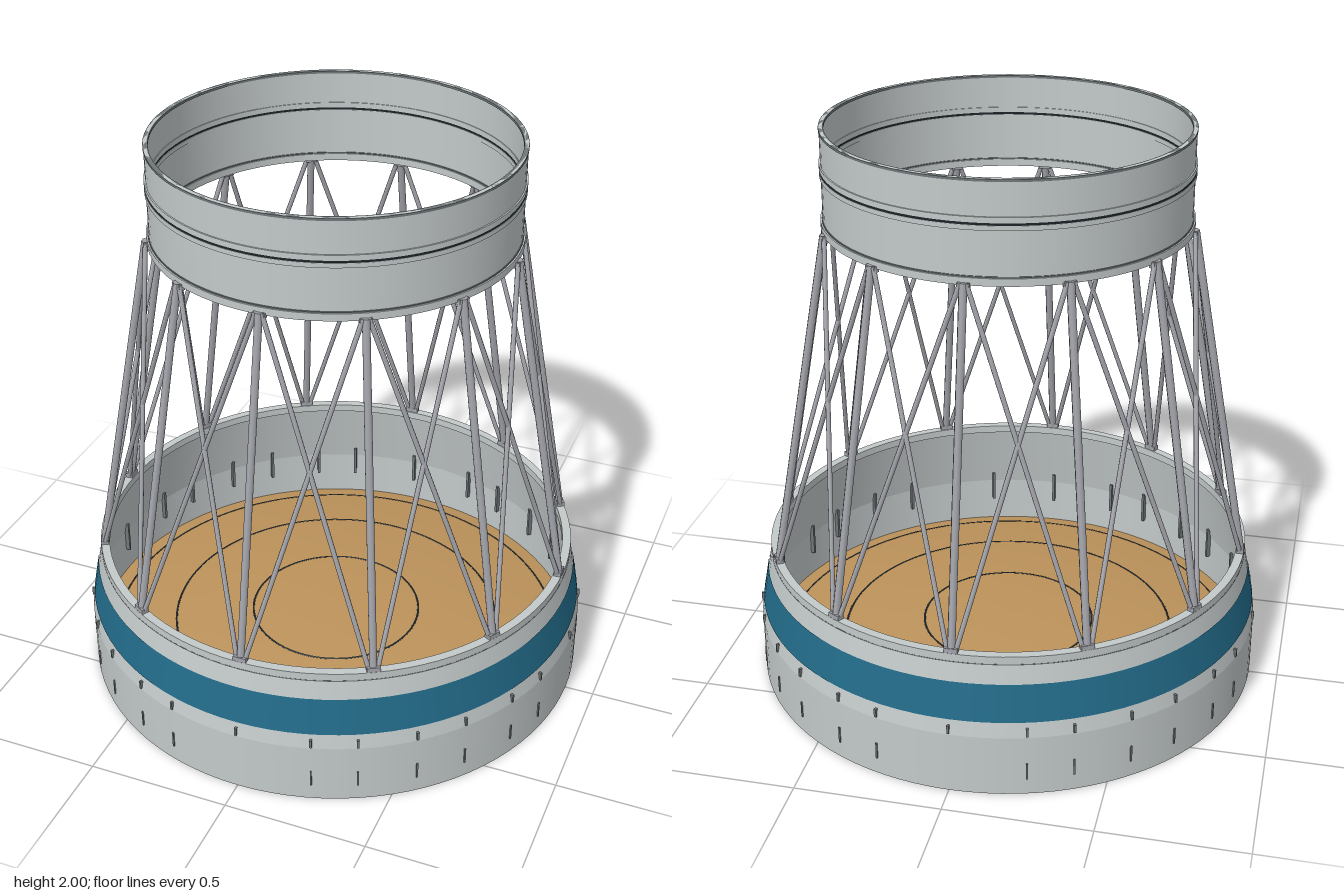
import * as THREE from 'three';
import { mergeGeometries } from 'three/addons/utils/BufferGeometryUtils.js';

const SEG = 96;
const mat = (name, color) => {
  const m = new THREE.MeshStandardMaterial({ color });
  m.name = name;
  return m;
};

// Hard-edged ring: every straight piece of the profile is its own lathe (outer side runs upward)
function ring(profile, closed = true) {
  const pieces = [];
  const n = profile.length;
  for (let i = 0; i < (closed ? n : n - 1); i++) {
    const pair = [profile[i], profile[(i + 1) % n]].map(p => new THREE.Vector2(p[0], p[1]));
    pieces.push(new THREE.LatheGeometry(pair, SEG));
  }
  return mergeGeometries(pieces);
}
const band = (rIn, rOut, y0, y1) => ring([[rIn, y0], [rOut, y0], [rOut, y1], [rIn, y1]]);

// Point on a circle; angle 0 is the front, positive toward +x
const polar = (a, r, y) => new THREE.Vector3(r * Math.sin(a), y, r * Math.cos(a));

function rod(a, b, radius) {
  const d = b.clone().sub(a);
  const g = new THREE.CylinderGeometry(radius, radius, d.length(), 8);
  g.applyQuaternion(new THREE.Quaternion().setFromUnitVectors(new THREE.Vector3(0, 1, 0), d.normalize()));
  const mid = a.clone().add(b).multiplyScalar(0.5);
  return g.translate(mid.x, mid.y, mid.z);
}

function barOnWall(a, r, y, w, h, d) {
  const p = polar(a, r, y);
  return new THREE.BoxGeometry(w, h, d).rotateY(a).translate(p.x, p.y, p.z);
}

export function createModel() {
  const model = new THREE.Group();
  model.name = 'interstage';
  const skin = mat('light grey skin', 0xc3c9c9);
  const strutGrey = mat('strut grey', 0xa2a4aa);
  const blue = mat('teal blue', 0x226a88);
  const gold = mat('tan gold', 0xbd935b);
  const dark = mat('dark seam', 0x1c2428);
  const fitting = mat('fitting grey', 0x70777a);
  const add = (name, geometry, material, parent = model) => {
    const m = new THREE.Mesh(geometry, material);
    m.name = name;
    parent.add(m);
    return m;
  };

  // Lower skirt: straight drum, then a gentle taper
  const slope = y => 0.898 - Math.max(0, y - 0.22) * 0.185;
  add('lowerSkirt', ring([
    [0.885, 0], [0.898, 0], [0.898, 0.22], [slope(0.47), 0.47],
    [0.838, 0.47], [0.884, 0.22],
  ]), skin);
  add('blueBand', ring([[slope(0.275) + 0.003, 0.275], [slope(0.405) + 0.003, 0.405]], false), blue);
  add('skirtTopFlange', band(0.822, 0.852, 0.472, 0.5), skin);
  add('skirtFlangeSeam', band(0.835, 0.8525, 0.469, 0.473), fitting);

  // Shallow domed floor with circular seams
  const domeY = r => 0.12 - 0.1 * r * r;
  const top = [], under = [];
  for (let i = 0; i <= 16; i++) {
    const r = 0.889 * i / 16;
    top.unshift(new THREE.Vector2(r, domeY(r) + 0.004));
    under.push(new THREE.Vector2(r, domeY(r) - 0.004));
  }
  add('domeFloor', mergeGeometries([top, under].map(p => new THREE.LatheGeometry(p, SEG))), gold);
  for (const r of [0.31, 0.6, 0.825]) {
    add('domeSeam', new THREE.TorusGeometry(r, 0.0058, 6, SEG).rotateX(Math.PI / 2).translate(0, domeY(r), 0), dark);
  }

  // Small fittings around the skirt, repeated in each quadrant
  const upper = [], lower = [], inner = [];
  for (let q = 0; q < 4; q++) {
    for (const deg of [0, 16.4, 26.4, 39.3, 50.7, 63.6, 73.6]) {
      const a = THREE.MathUtils.degToRad(deg + q * 90);
      upper.push(barOnWall(a, 0.894, 0.24, 0.008, 0.03, 0.016));
      if (deg > 0) lower.push(barOnWall(a, 0.898, 0.09, 0.006, 0.06, 0.008));
      inner.push(barOnWall(a, 0.876, 0.2, 0.01, 0.12, 0.016));
    }
  }
  add('upperFittings', mergeGeometries(upper), fitting);
  add('lowerFittings', mergeGeometries(lower), fitting);
  add('innerRibs', mergeGeometries(inner), fitting);

  // Access hatch on the front right of the drum
  const hatch = new THREE.Group();
  hatch.name = 'accessHatch';
  model.add(hatch);
  const patch = (r, a, da, y, h) =>
    new THREE.CylinderGeometry(r, r, h, 8, 1, true, a - da / 2, da).translate(0, y, 0);
  const ha = THREE.MathUtils.degToRad(-65);
  add('hatchFrame', patch(0.901, ha, 0.21, 0.16, 0.14), fitting, hatch);
  add('hatchPanel', patch(0.904, ha, 0.19, 0.16, 0.127), skin, hatch);
  add('hatchSlot', patch(0.907, ha + 0.03, 0.03, 0.16, 0.042), dark, hatch);

  // Open truss: twelve legs with crossed braces between them
  const legs = [], braces = [];
  const step = Math.PI / 6;
  for (let i = 0; i < 12; i++) {
    const a = i * step;
    const foot = polar(a, 0.84, 0.495), head = polar(a, 0.626, 1.675);
    legs.push(rod(foot, head, 0.0135));
    for (const s of [-1, 1]) {
      braces.push(rod(polar(a + s * 0.015, 0.84, 0.495), polar(a + s * (step - 0.015), 0.626, 1.675), 0.0085));
    }
    legs.push(barOnWall(a, 0.838, 0.508, 0.045, 0.018, 0.026));
    legs.push(barOnWall(a, 0.622, 1.665, 0.04, 0.02, 0.022));
  }
  add('trussLegs', mergeGeometries(legs), strutGrey);
  add('trussBraces', mergeGeometries(braces), strutGrey);

  // Upper collar with flanges and a dark joint
  add('upperCollar', band(0.603, 0.614, 1.68, 2), skin);
  add('collarBottomFlange', band(0.596, 0.622, 1.667, 1.692), skin);
  add('collarFlangeSeam', band(0.6, 0.617, 1.692, 1.696), fitting);
  add('collarLowerRib', band(0.6, 0.619, 1.842, 1.858), skin);
  add('collarJoint', band(0.602, 0.6175, 1.858, 1.866), dark);
  add('collarUpperRib', band(0.6, 0.619, 1.866, 1.884), skin);
  add('collarTopRim', band(0.599, 0.616, 1.992, 2), fitting);
  return model;
}
